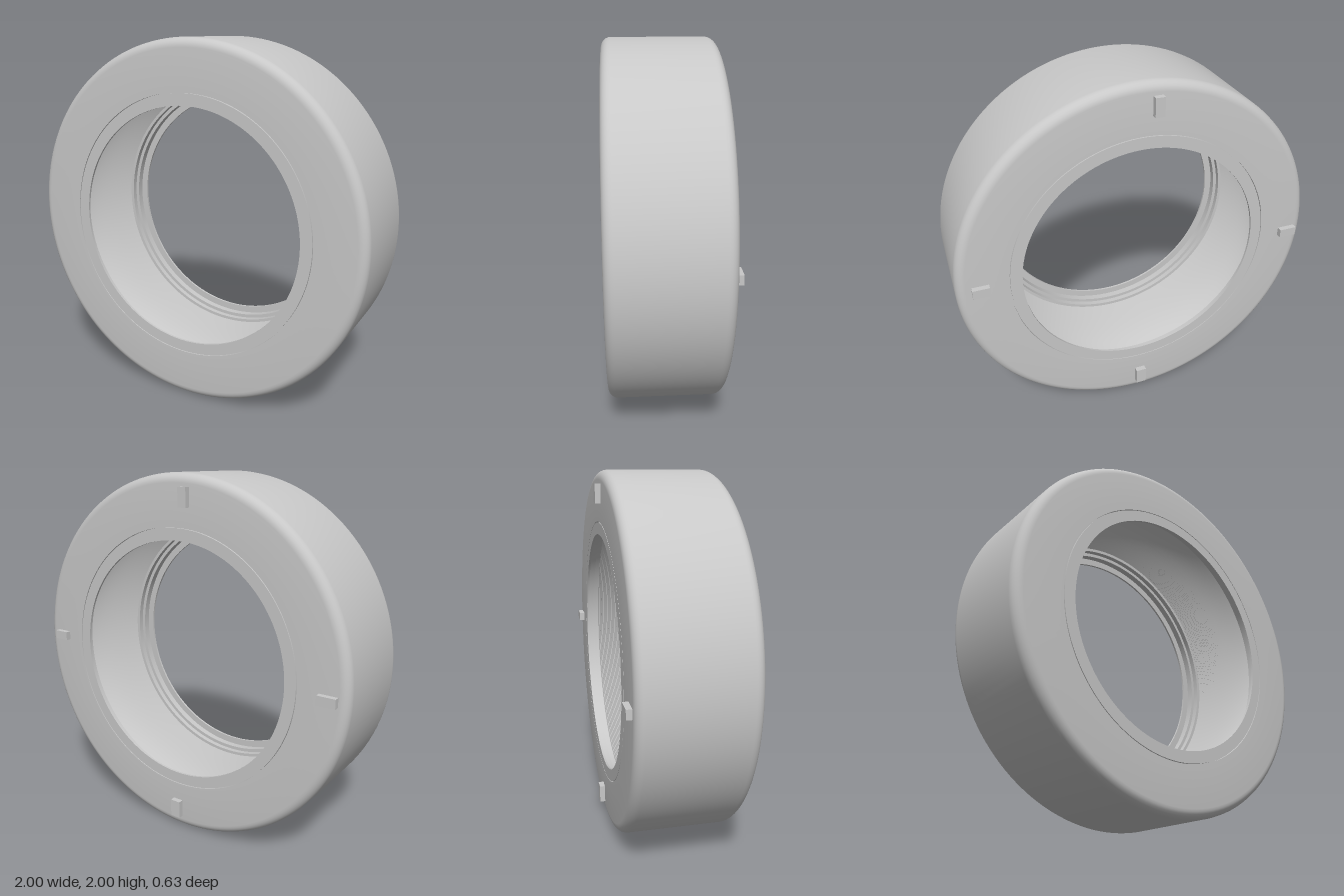
import * as THREE from 'three';
import { toCreasedNormals } from 'three/addons/utils/BufferGeometryUtils.js';

const HALF = 0.315, FRONT = HALF, BACK = -0.285, SEGMENTS = 144;
const SEAT = 0.08, SEAT_RADIUS = 0.74;

// Revolve an (r, z) profile around the z axis, keeping hard edges sharp
function revolve(name, profile, material) {
  const points = profile.map(([r, z]) => new THREE.Vector2(r, z));
  const lathe = new THREE.LatheGeometry(points, SEGMENTS);
  lathe.rotateX(Math.PI / 2);
  const mesh = new THREE.Mesh(toCreasedNormals(lathe, 0.5), material);
  mesh.name = name;
  return mesh;
}

// Quarter-round between the rim and an end face
function corner(z, from) {
  const radius = 0.05, points = [];
  for (let i = 0; i <= 6; i++) {
    const a = from + (i / 6) * Math.PI / 2;
    points.push([1 - radius + radius * Math.cos(a), z + radius * Math.sin(a)]);
  }
  return points;
}

// Thin retaining lip with a stepped seat behind it; inward is the z direction into the bore
function lip(face, inward) {
  return [
    [0.724, face + inward * 0.012], [0.724, face], [0.66, face],
    [0.66, face + inward * 0.012], [0.7, face + inward * 0.012],
    [0.7, face + inward * 0.05], [0.72, face + inward * 0.05],
    [0.72, face + inward * SEAT], [SEAT_RADIUS, face + inward * SEAT],
  ];
}

export function createModel() {
  const grey = new THREE.MeshStandardMaterial({ color: 0xc8c8c8 });
  grey.name = 'grey';
  grey.side = THREE.DoubleSide;

  const model = new THREE.Group();
  model.name = 'ringHousing';
  const ring = new THREE.Group();
  ring.name = 'ring';
  ring.position.y = 1;
  model.add(ring);

  // Outer shell with rounded shoulders and a fine groove in each face
  ring.add(revolve('outerShell', [
    [0.724, BACK + 0.012], [0.728, BACK + 0.012], [0.728, BACK],
    ...corner(BACK + 0.05, -Math.PI / 2),
    ...corner(FRONT - 0.05, 0),
    [0.728, FRONT], [0.728, FRONT - 0.012], [0.724, FRONT - 0.012],
  ], grey));

  // Retaining lips; the back profile is reversed so it faces outwards
  ring.add(revolve('frontLip', lip(FRONT, -1), grey));
  ring.add(revolve('backLip', lip(BACK, 1).reverse(), grey));

  // Finely ridged bore between the lips, hollowed towards its middle
  const steps = 90, start = FRONT - SEAT, length = FRONT - BACK - 2 * SEAT;
  const bore = [];
  for (let i = 0; i <= steps; i++) {
    const t = i / steps;
    const hollow = 0.055 * Math.sin(Math.PI * t);
    bore.push([SEAT_RADIUS + hollow - (i % 2 ? 0.007 : 0), start - length * t]);
  }
  ring.add(revolve('ridgedBore', bore, grey));

  // Four small locating tabs on the back face: x, y, width, height
  const tabs = [
    [-0.065, 0.88, 0.05, 0.1],
    [0.005, -0.88, 0.06, 0.1],
    [0.875, 0.025, 0.09, 0.05],
    [-0.895, -0.02, 0.1, 0.05],
  ];
  for (const [x, y, width, height] of tabs) {
    const tab = new THREE.Mesh(new THREE.BoxGeometry(width, height, 0.04), grey);
    tab.name = 'backTab';
    tab.position.set(x, y, -HALF + 0.02);
    ring.add(tab);
  }
  return model;
}
